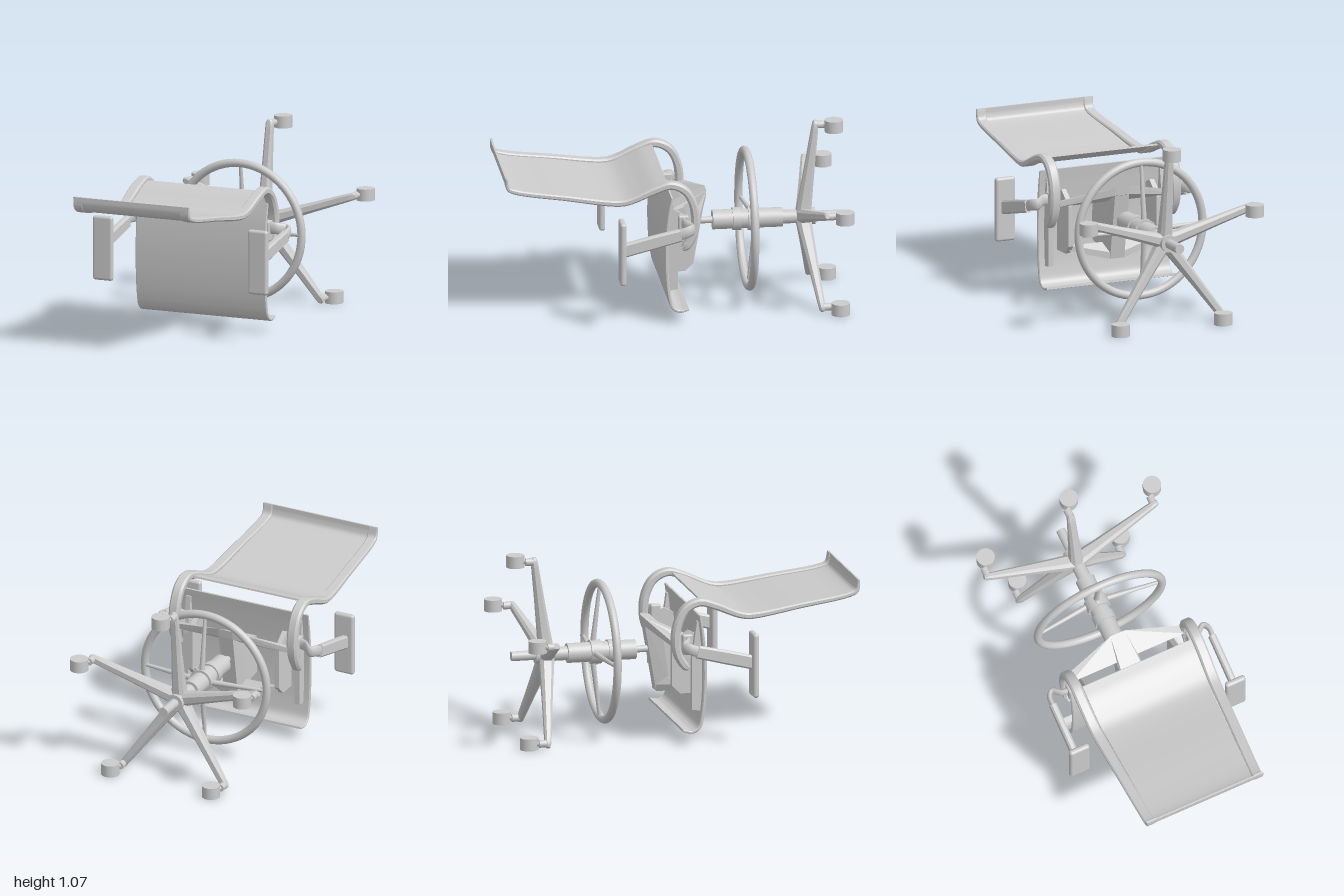
import * as THREE from 'three';
import { toCreasedNormals } from 'three/addons/utils/BufferGeometryUtils.js';
import { RoundedBoxGeometry } from 'three/addons/geometries/RoundedBoxGeometry.js';
import { ConvexGeometry } from 'three/addons/geometries/ConvexGeometry.js';

const mat = new THREE.MeshStandardMaterial({ color: 0xcccccc, side: THREE.DoubleSide });
const V = (x, y, z) => new THREE.Vector3(x, y, z);
const AXIS_Y = 0.485; // height of the lying column

function add(parent, name, geo, x = 0, y = 0, z = 0) {
  const m = new THREE.Mesh(geo, mat);
  m.name = name;
  m.position.set(x, y, z);
  parent.add(m);
  return m;
}

// Sweeps a bevelled box section along a path; each point is [z, y, centreX, halfWidth, halfThickness]
function sweep(pts, steps) {
  const curve = new THREE.CatmullRomCurve3(pts.map(p => V(p[2], p[1], p[0])), false, 'centripetal');
  const pos = [], idx = [], X = V(1, 0, 0), K = 8;
  for (let i = 0; i <= steps; i++) {
    const t = i / steps, s = t * (pts.length - 1);
    const a = Math.min(Math.floor(s), pts.length - 2), f = s - a;
    const hw = THREE.MathUtils.lerp(pts[a][3], pts[a + 1][3], f);
    const ht = THREE.MathUtils.lerp(pts[a][4], pts[a + 1][4], f);
    const c = curve.getPoint(t), T = curve.getTangent(t);
    T.x = 0;
    const N = T.normalize().clone().cross(X);
    const b = Math.min(hw, ht) * 0.5;
    const ring = [[hw, -ht + b], [hw, ht - b], [hw - b, ht], [-hw + b, ht],
      [-hw, ht - b], [-hw, -ht + b], [-hw + b, -ht], [hw - b, -ht]];
    for (const [u, v] of ring) pos.push(c.x + u, c.y + N.y * v, c.z + N.z * v);
  }
  for (let i = 0; i < steps; i++)
    for (let j = 0; j < K; j++) {
      const p = i * K + j, q = i * K + (j + 1) % K;
      idx.push(p, q, q + K, p, q + K, p + K);
    }
  const e = steps * K;
  for (let j = 1; j < K - 1; j++) idx.push(0, j + 1, j, e, e + j, e + j + 1);
  const g = new THREE.BufferGeometry();
  g.setAttribute('position', new THREE.Float32BufferAttribute(pos, 3));
  g.setIndex(idx);
  return toCreasedNormals(g, 0.6);
}

// Cylinder along z between two depths
function zCylinder(parent, name, r, z0, z1, x = 0, y = AXIS_Y) {
  const g = new THREE.CylinderGeometry(r, r, Math.abs(z1 - z0), 28).rotateX(Math.PI / 2);
  return add(parent, name, g, x, y, (z0 + z1) / 2);
}

// Round rod between two points
function rod(parent, name, a, b, r0, r1 = r0) {
  const m = add(parent, name, new THREE.CylinderGeometry(r1, r0, a.distanceTo(b), 14));
  m.position.copy(a).add(b).multiplyScalar(0.5);
  m.quaternion.setFromUnitVectors(V(0, 1, 0), b.clone().sub(a).normalize());
  return m;
}

// Point pairs mirrored in x
const hull = pts => {
  const g = new ConvexGeometry(pts.flatMap(([x, y, z]) => [V(x, y, z), V(-x, y, z)]));
  return g;
};

function buildSeat(g) {
  add(g, 'seat', sweep([
    [0.038, 0.765, 0, 0.415, 0.005], [0.055, 0.66, 0, 0.415, 0.009],
    [0.069, 0.5, 0, 0.415, 0.01], [0.069, 0.32, 0, 0.415, 0.01],
    [0.055, 0.17, 0, 0.415, 0.01], [0.035, 0.1, 0, 0.415, 0.009],
    [-0.005, 0.075, 0, 0.415, 0.008], [-0.06, 0.085, 0, 0.415, 0.006]], 40));

  // Flanges and pan walls under the seat
  for (const s of [-1, 1]) {
    const flange = new THREE.Shape([[0.06, 0.19], [0.0, 0.2], [0.0, 0.5], [0.03, 0.72], [0.05, 0.72], [0.06, 0.5]]
      .map(([z, y]) => new THREE.Vector2(-z, y)));
    const wall = new THREE.Shape([[0.06, 0.28], [-0.05, 0.28], [-0.1, 0.33], [-0.1, 0.57], [0.0, 0.65], [0.06, 0.62]]
      .map(([z, y]) => new THREE.Vector2(-z, y)));
    const opt = { depth: 0.03, bevelEnabled: false };
    add(g, 'seatFlange', new THREE.ExtrudeGeometry(flange, opt).rotateY(Math.PI / 2), s * 0.36 - 0.015);
    add(g, 'panWall', new THREE.ExtrudeGeometry(wall, opt).rotateY(Math.PI / 2), s * 0.28 - 0.015);
  }

  // Cross bracket: a deep spine with two tapering wings
  add(g, 'bracketSpine', hull([[0.045, 0.68, -0.205], [0.045, 0.24, -0.13],
    [0.07, 0.6, -0.1], [0.07, 0.3, -0.06], [0.07, 0.55, 0.06], [0.07, 0.32, 0.06]]));
  add(g, 'upperWing', hull([[0.045, 0.68, -0.205], [0.045, 0.63, -0.2], [0.045, 0.62, -0.11],
    [0.36, 0.61, -0.12], [0.36, 0.58, -0.12], [0.36, 0.6, -0.07]]));
  add(g, 'lowerWing', hull([[0.05, 0.24, -0.13], [0.05, 0.28, -0.13], [0.05, 0.3, -0.06],
    [0.28, 0.3, -0.07], [0.28, 0.33, -0.07], [0.28, 0.3, -0.03]]));
}

function buildBackrest(g) {
  add(g, 'backrest', sweep([
    [0.06, 0.835, 0, 0.345, 0.005], [0.13, 0.815, 0, 0.345, 0.005],
    [0.22, 0.772, 0, 0.343, 0.005], [0.3, 0.742, 0, 0.34, 0.005],
    [0.37, 0.738, 0, 0.335, 0.005], [0.65, 0.778, 0, 0.325, 0.005],
    [0.94, 0.82, 0, 0.315, 0.005], [0.98, 0.838, 0, 0.313, 0.006],
    [0.993, 0.87, 0, 0.34, 0.006], [0.995, 0.908, 0, 0.37, 0.005]], 54));

  // Curved side rails that hook down beside the seat
  for (const s of [-1, 1])
    add(g, 'sideRail', sweep([
      [-0.022, 0.45, s * 0.385, 0.018, 0.014], [-0.045, 0.465, s * 0.385, 0.028, 0.024],
      [-0.085, 0.53, s * 0.385, 0.03, 0.024], [-0.1, 0.62, s * 0.383, 0.032, 0.024],
      [-0.085, 0.72, s * 0.382, 0.032, 0.024], [-0.04, 0.8, s * 0.381, 0.032, 0.023],
      [0.04, 0.837, s * 0.38, 0.032, 0.022], [0.13, 0.813, s * 0.38, 0.032, 0.021],
      [0.28, 0.75, s * 0.375, 0.032, 0.018], [0.35, 0.74, s * 0.372, 0.032, 0.018],
      [0.65, 0.78, s * 0.357, 0.03, 0.015], [0.94, 0.824, s * 0.342, 0.03, 0.014],
      [0.982, 0.845, s * 0.34, 0.03, 0.012], [0.994, 0.908, s * 0.34, 0.03, 0.006]], 72));
}

function buildArmrests(g) {
  for (const s of [-1, 1]) {
    add(g, 'armPad', new RoundedBoxGeometry(0.125, 0.378, 0.036, 4, 0.016), s * 0.495, 0.479, 0.338);
    // Sloping flat bar from the pad to the bent support
    add(g, 'armBar', sweep([[0.33, 0.492, s * 0.505, 0.02, 0.04], [0.17, 0.532, s * 0.505, 0.02, 0.04],
      [0.0, 0.573, s * 0.505, 0.02, 0.037]], 6));
    const bend = new THREE.CatmullRomCurve3([V(s * 0.505, 0.573, 0.02), V(s * 0.505, 0.583, -0.045),
      V(s * 0.48, 0.585, -0.072), V(s * 0.43, 0.59, -0.035), V(s * 0.36, 0.59, -0.03)]);
    const tube = new THREE.TubeGeometry(bend, 28, 0.015, 10).translate(0, -0.587, 0).scale(1, 2.3, 1).translate(0, 0.6, 0);
    add(g, 'armSupport', tube);
    add(g, 'armMount', new RoundedBoxGeometry(0.04, 0.12, 0.06, 2, 0.01), s * 0.38, 0.59, -0.03);
  }
}

function buildColumn(g) {
  [['piston', 0.02, -0.12, -0.25], ['upperSleeve', 0.057, -0.245, -0.37], ['collar', 0.066, -0.36, -0.41],
    ['lowerSleeve', 0.057, -0.4, -0.65], ['neck', 0.04, -0.65, -0.76], ['baseHub', 0.05, -0.74, -0.84],
    ['columnFoot', 0.028, -0.83, -0.98]]
    .forEach(([name, r, a, b]) => zCylinder(g, name, r, a, b));

  // Foot ring on four dished spokes
  add(g, 'footRing', new THREE.TorusGeometry(0.394, 0.024, 14, 72), 0, AXIS_Y, -0.446);
  zCylinder(g, 'ringHub', 0.07, -0.45, -0.515);
  for (let i = 0; i < 4; i++) {
    const a = i * Math.PI / 2, c = Math.cos(a), s = Math.sin(a);
    rod(g, 'ringSpoke', V(c * 0.05, AXIS_Y + s * 0.05, -0.495),
      V(c * 0.385, AXIS_Y + s * 0.385, -0.455), 0.017, 0.01);
  }
  add(g, 'ringClamp', new RoundedBoxGeometry(0.03, 0.15, 0.04, 2, 0.008), 0, AXIS_Y, -0.48);
}

function buildBase(g) {
  for (let i = 0; i < 5; i++) {
    const a = i * 2 * Math.PI / 5;
    const leg = new THREE.Group();
    leg.name = 'baseLeg';
    leg.position.y = AXIS_Y;
    leg.rotation.z = a;
    g.add(leg);
    add(leg, 'legBeam', sweep([[-0.77, 0.0, 0, 0.045, 0.045], [-0.782, 0.09, 0, 0.036, 0.04],
      [-0.812, 0.32, 0, 0.028, 0.028], [-0.843, 0.56, 0, 0.022, 0.017], [-0.845, 0.578, 0, 0.012, 0.012]], 16));
    zCylinder(leg, 'casterPost', 0.022, -0.84, -0.895, 0, 0.553);
    // Caster keeps the same heading on every leg
    const x = -Math.sin(a) * 0.555, y = AXIS_Y + Math.cos(a) * 0.555;
    add(g, 'caster', new THREE.CylinderGeometry(0.053, 0.053, 0.07, 28),
      x + 0.035, THREE.MathUtils.clamp(y, 0.035, 1.04), -0.946);
    rod(g, 'casterAxle', V(x, y, -0.88), V(x + 0.035, y, -0.94), 0.015);
  }
}

export function createModel() {
  const model = new THREE.Group();
  model.name = 'draftingChair';
  const chair = new THREE.Group();
  chair.name = 'chair';
  chair.position.x = -0.03;
  model.add(chair);
  [buildSeat, buildBackrest, buildArmrests, buildColumn, buildBase].forEach(build => build(chair));
  return model;
}
